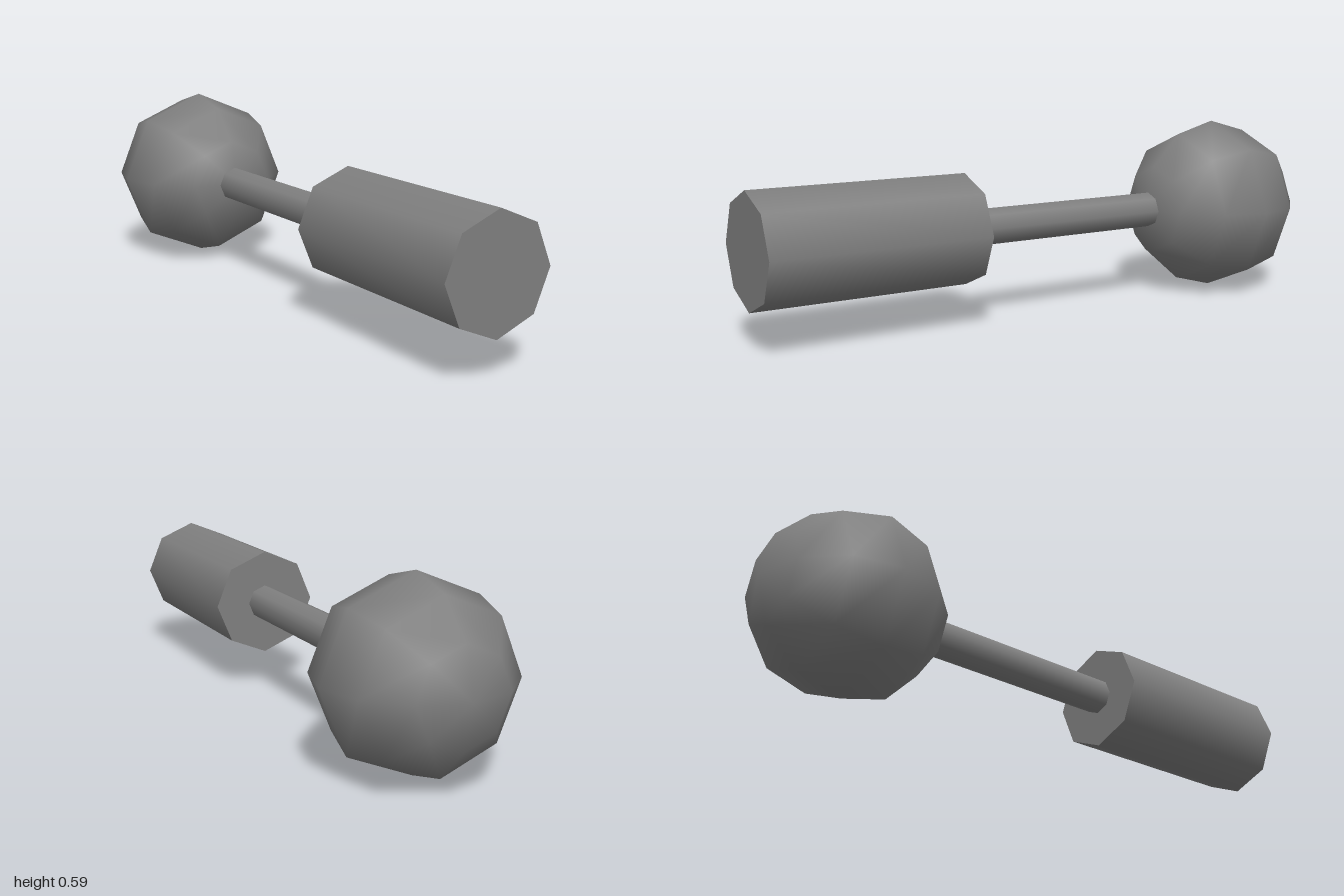
import * as THREE from 'three';

export function createModel() {
  const model = new THREE.Group();
  const grey = new THREE.MeshStandardMaterial({ color: 0x808080 });
  grey.name = 'grey';

  const axisY = 0.295; // height of the shared axis

  // Every part is turned so that its axis lies along z
  function add(name, geometry, z) {
    const mesh = new THREE.Mesh(geometry.rotateX(Math.PI / 2), grey);
    mesh.name = name;
    mesh.position.set(0, axisY, z);
    model.add(mesh);
  }

  function rod(name, radius, zBack, zFront) {
    const geometry = new THREE.CylinderGeometry(radius, radius, zFront - zBack, 8);
    add(name, geometry, (zFront + zBack) / 2);
  }

  // Octagonal grip, thin shaft reaching into the ball, and the ball at the back
  rod('grip', 0.176, 0.295, 1);
  rod('shaft', 0.0585, -0.5, 0.3);
  add('ball', new THREE.SphereGeometry(0.2935, 8, 6), -0.7065);

  return model;
}
